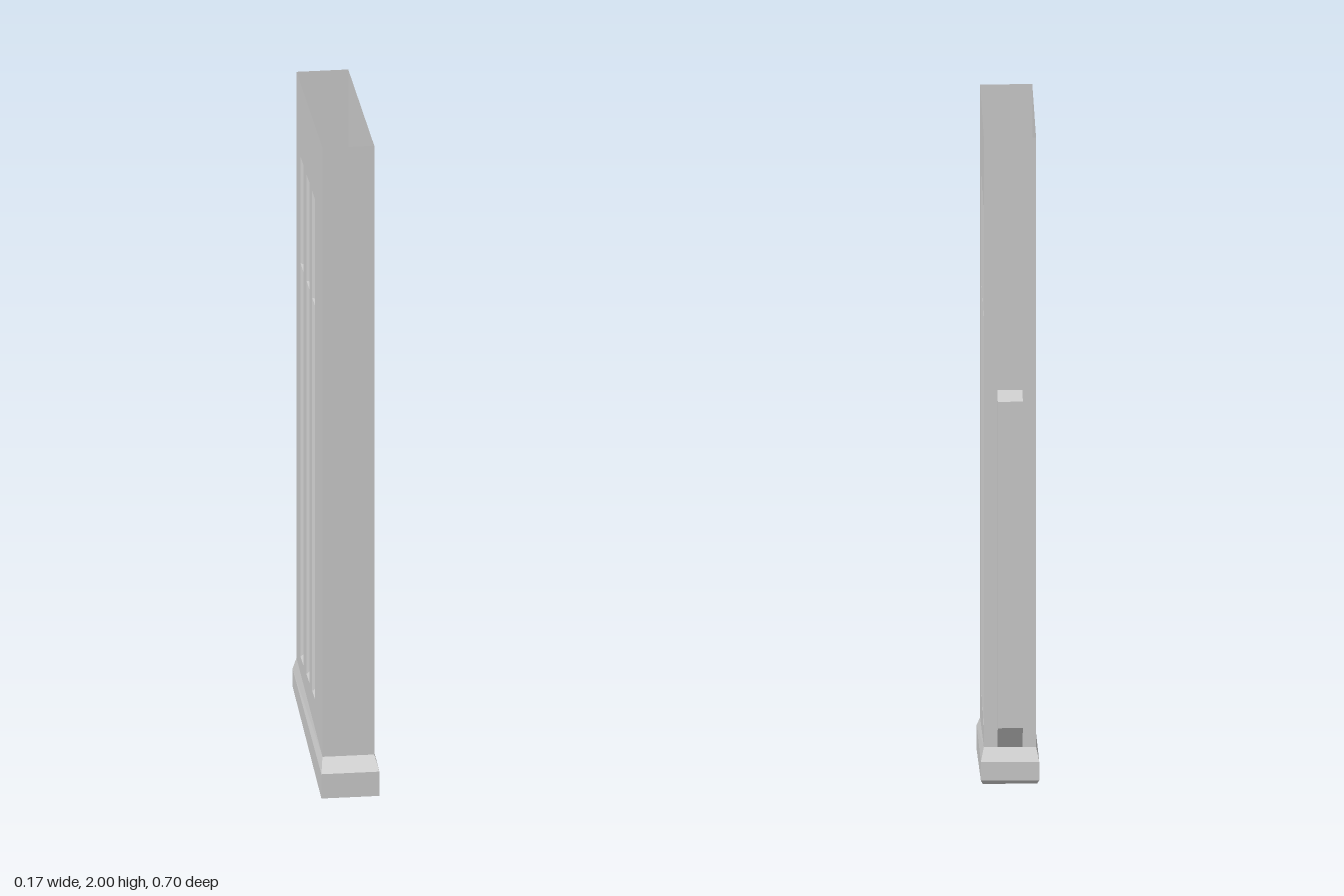
import * as THREE from 'three';

const W = 0.075, FRONT = 0.305, BACK = -0.297, TOP = 2;
const grey = new THREE.MeshStandardMaterial({ color: 0xcccccc, flatShading: true, side: THREE.DoubleSide });

function add(parent, name, geometry) {
  const mesh = new THREE.Mesh(geometry, grey);
  mesh.name = name;
  parent.add(mesh);
  return mesh;
}

// Joins four-cornered rings with flat faces; either end may be capped.
function loft(rings, capStart, capEnd) {
  const pos = [];
  const quad = (a, b, c, d) => pos.push(...a, ...b, ...c, ...a, ...c, ...d);
  for (let i = 0; i + 1 < rings.length; i++) {
    const r = rings[i], s = rings[i + 1];
    for (let j = 0; j < 4; j++) {
      const k = (j + 1) % 4;
      quad(r[j], r[k], s[k], s[j]);
    }
  }
  if (capStart) quad(...[...rings[0]].reverse());
  if (capEnd) quad(...rings[rings.length - 1]);
  const g = new THREE.BufferGeometry();
  g.setAttribute('position', new THREE.Float32BufferAttribute(pos, 3));
  g.computeVertexNormals();
  return g;
}

// Side wall with three recessed grooves, built on the right (-x).
function sideWall(name) {
  const side = new THREE.Group();
  side.name = name;
  const shape = new THREE.Shape([[FRONT, 0.11], [FRONT, TOP], [BACK, TOP], [BACK, 0.18]]
    .map(p => new THREE.Vector2(...p)));
  const rect = (z0, z1, y0, y1) => [[z0, y0], [z1, y0], [z1, y1], [z0, y1]];
  for (const z of [0.102, -0.033, -0.169]) {
    const outer = rect(z - 0.034, z + 0.034, 0.23, 1.775);
    const inner = rect(z - 0.022, z + 0.022, 0.25, 1.755);
    shape.holes.push(new THREE.Path(outer.map(p => new THREE.Vector2(...p))));
    add(side, 'groove', loft([
      outer.map(([a, y]) => [-W, y, a]),
      inner.map(([a, y]) => [-W + 0.015, y, a]),
    ], false, true));
  }
  add(side, 'sidePanel', new THREE.ShapeGeometry(shape).rotateY(-Math.PI / 2).translate(-W, 0, 0));
  return side;
}

export function createModel() {
  const model = new THREE.Group();
  model.name = 'magazine';

  // Thin-walled open body
  model.add(sideWall('rightWall'));
  const left = sideWall('leftWall');
  left.scale.x = -1;
  model.add(left);
  add(model, 'frontWall', new THREE.PlaneGeometry(2 * W, TOP - 0.11).translate(0, (TOP + 0.11) / 2, FRONT));
  add(model, 'backWall', new THREE.PlaneGeometry(2 * W, TOP - 0.18).rotateY(Math.PI)
    .translate(0, (TOP + 0.18) / 2, BACK));

  // Slanted base plate: half width, front z and y, back z and y of each ring
  const baseRings = [
    [0.078, 0.31, 0, -0.295, 0.08],
    [0.084, 0.352, 0.01, -0.315, 0.095],
    [0.084, 0.352, 0.085, -0.315, 0.15],
    [W, FRONT, 0.12, BACK, 0.19],
  ].map(([x, zf, yf, zb, yb]) => [[x, yf, zf], [x, yb, zb], [-x, yb, zb], [-x, yf, zf]]);
  add(model, 'basePlate', loft(baseRings, true, false));

  // Rib down the back
  const rib = new THREE.Shape([[BACK, 0.19], [BACK, 1.25], [-0.352, 1.23], [-0.352, 0.26]]
    .map(p => new THREE.Vector2(...p)));
  add(model, 'backRib', new THREE.ExtrudeGeometry(rib, { depth: 0.072, bevelEnabled: false })
    .translate(0, 0, -0.036).rotateY(-Math.PI / 2));

  // Follower inside the body, with a raised pad
  const followerY = 1.445, midZ = (FRONT + BACK) / 2;
  add(model, 'follower', new THREE.PlaneGeometry(2 * W, FRONT - BACK).rotateX(-Math.PI / 2)
    .translate(0, followerY, midZ));
  add(model, 'followerPad', new THREE.BoxGeometry(0.072, 0.006, 0.52).translate(0, followerY + 0.003, 0.005));

  // Eight-sided cartridge lying on the pad, tip forward
  const profile = [
    [0, -0.255], [0.037, -0.255], [0.037, -0.247], [0.031, -0.243], [0.031, -0.236], [0.037, -0.228],
    [0.036, 0.048], [0.028, 0.076], [0.025, 0.175], [0.015, 0.217], [0, 0.257],
  ].map(p => new THREE.Vector2(...p));
  add(model, 'cartridge', new THREE.LatheGeometry(profile, 8).rotateX(Math.PI / 2)
    .translate(0, followerY + 0.04, 0));

  return model;
}
